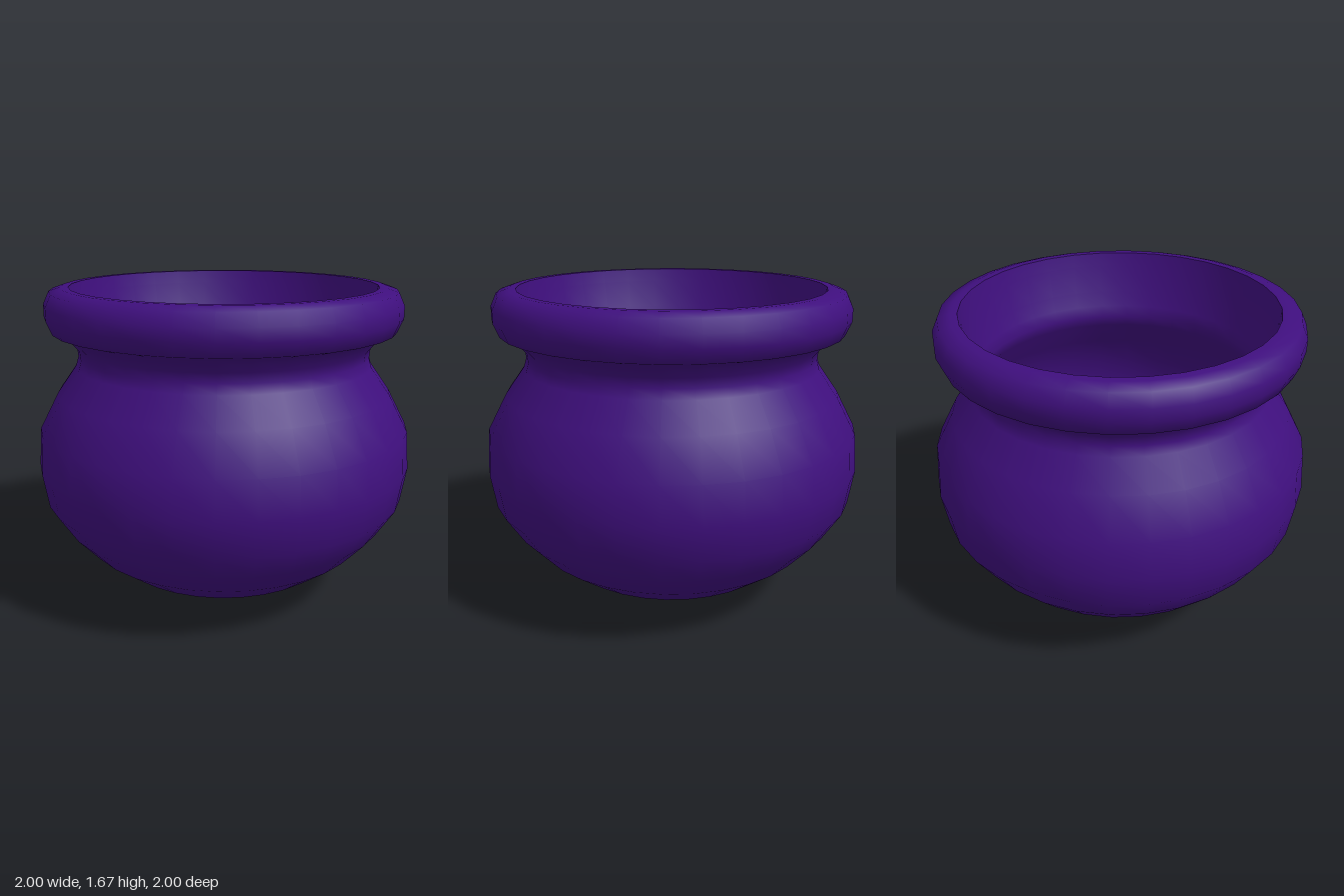
import * as THREE from 'three';

const SEGMENTS = 32;

// Turns a list of [radius, height] pairs into a smooth surface of revolution
function turned(name, profile, material) {
  const points = profile.map(([r, y]) => new THREE.Vector2(r, y));
  const mesh = new THREE.Mesh(new THREE.LatheGeometry(points, SEGMENTS), material);
  mesh.name = name;
  return mesh;
}

export function createModel() {
  const glaze = new THREE.MeshStandardMaterial({ color: 0x3f0f7e });
  glaze.name = 'deep purple';

  // Rounded belly, narrow neck and rolled rim, from the base upwards
  const outside = [
    [0, 0], [0.19, 0.015], [0.385, 0.065], [0.59, 0.155], [0.755, 0.275],
    [0.875, 0.405], [0.97, 0.55], [1, 0.73], [0.985, 0.93], [0.885, 1.12],
    [0.785, 1.26], [0.77, 1.31], [0.775, 1.36], [0.835, 1.43], [0.905, 1.45],
    [0.935, 1.52], [0.935, 1.585], [0.905, 1.65], [0.845, 1.67], [0.805, 1.67],
  ];

  // Hollow interior, from the lip down to the floor
  const inside = [
    [0.805, 1.67], [0.795, 1.6], [0.765, 1.45], [0.735, 1.37], [0.72, 1.31],
    [0.735, 1.25], [0.84, 1.1], [0.935, 0.92], [0.95, 0.73], [0.92, 0.57],
    [0.83, 0.43], [0.715, 0.31], [0.56, 0.2], [0.365, 0.11], [0.18, 0.065], [0, 0.05],
  ];

  const pot = new THREE.Group();
  pot.name = 'pot';
  pot.add(turned('outerWallAndRim', outside, glaze), turned('innerWall', inside, glaze));
  return pot;
}
